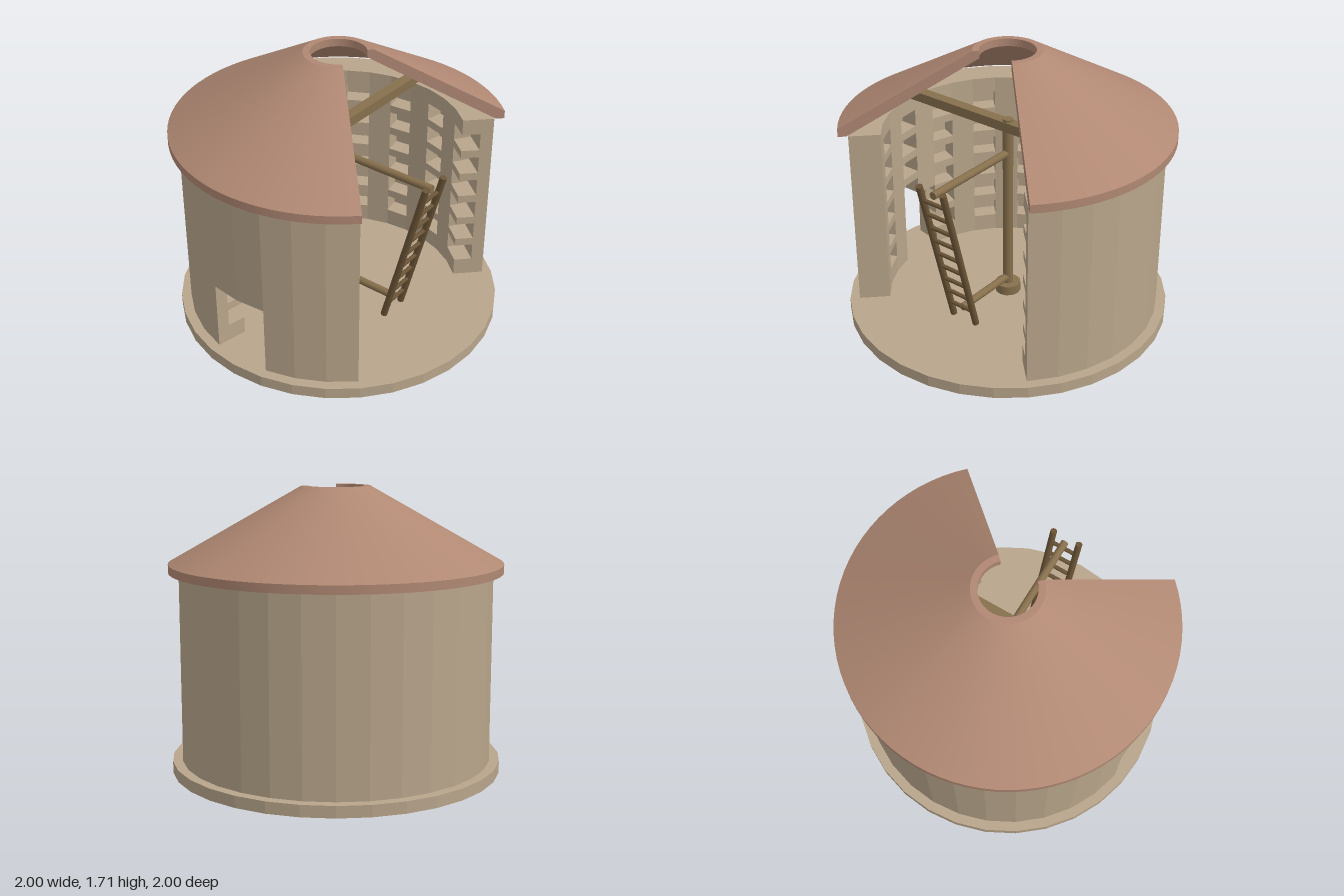
import * as THREE from 'three';
import { toCreasedNormals } from 'three/addons/utils/BufferGeometryUtils.js';

const FLOOR = 0.07, EAVES = 1.21;
const CUT = Math.PI / 4;        // half angle of the cutaway at the front
const STEP = Math.PI / 16;      // one wall facet
const FACETS = 24;              // facets left after the cutaway

const material = (color, flatShading = false) =>
  new THREE.MeshStandardMaterial({ color, flatShading });
const stone = material(0xb8a58b, true);
const tile = material(0xb08873);
tile.side = THREE.DoubleSide;
const timber = material(0x866f4c);
const darkTimber = material(0x6a5436);

function add(parent, name, geometry, mat) {
  const mesh = new THREE.Mesh(geometry, mat);
  mesh.name = name;
  parent.add(mesh);
  return mesh;
}

// Round bar between two points
function bar(parent, name, from, to, radius, mat) {
  const a = new THREE.Vector3(...from), b = new THREE.Vector3(...to);
  const dir = b.clone().sub(a);
  const mesh = add(parent, name, new THREE.CylinderGeometry(radius, radius, dir.length(), 12), mat);
  mesh.position.copy(a).add(b).multiplyScalar(0.5);
  mesh.quaternion.setFromUnitVectors(new THREE.Vector3(0, 1, 0), dir.normalize());
  return mesh;
}

// Ring wall as a polar grid of cells (facet, level, layer); only faces next to empty cells are made
function wallGeometry() {
  const radii = [0.75, 0.863, 0.94];
  const levels = [FLOOR];
  for (let row = 0; row < 6; row++) {
    const y = 0.182 + row * 0.163;
    levels.push(y, y + 0.112);
  }
  levels.push(EAVES);
  const size = [FACETS, levels.length - 1, 2];

  const solid = ([k, j, l]) => {
    if (k < 0 || j < 0 || l < 0 || k >= size[0] || j >= size[1] || l >= size[2]) return false;
    const doorway = (k === 19 || k === 20) && j < 5;
    const nestHole = k % 2 === 0 && j % 2 === 1 && l === 0;
    return !doorway && !nestHole;
  };
  const point = ([k, j, l]) => {
    const a = CUT + k * STEP;
    return [radii[l] * Math.sin(a), levels[j], radii[l] * Math.cos(a)];
  };

  const positions = [];
  const addFace = (cell, axis, side) => {
    const u = (axis + 1) % 3, v = (axis + 2) % 3;
    const corner = (du, dv) => {
      const c = [...cell];
      c[axis] += side;
      c[u] += du;
      c[v] += dv;
      return point(c);
    };
    const q = [corner(0, 0), corner(1, 0), corner(1, 1), corner(0, 1)];
    if (!side) q.reverse();
    for (const i of [0, 1, 2, 0, 2, 3]) positions.push(...q[i]);
  };

  for (let k = 0; k < size[0]; k++)
    for (let j = 0; j < size[1]; j++)
      for (let l = 0; l < size[2]; l++) {
        const cell = [k, j, l];
        if (!solid(cell)) continue;
        for (let axis = 0; axis < 3; axis++)
          for (const side of [0, 1]) {
            const next = [...cell];
            next[axis] += side ? 1 : -1;
            if (!solid(next)) addFace(cell, axis, side);
          }
      }
  const geometry = new THREE.BufferGeometry();
  geometry.setAttribute('position', new THREE.Float32BufferAttribute(positions, 3));
  geometry.computeVertexNormals();
  return geometry;
}

// Thick conical roof with a smoke hole, closed at both cut ends
function buildRoof() {
  const roof = new THREE.Group();
  roof.name = 'roof';
  const profile = [
    [0.95, 1.21], [1, 1.21], [1, 1.26], [0.205, 1.712], [0.165, 1.712], [0.165, 1.665],
  ].map(([r, y]) => new THREE.Vector2(r, y));
  const shell = new THREE.LatheGeometry(
    [...profile, profile[0]], 60, CUT, Math.PI * 2 - CUT * 2);
  add(roof, 'roofShell', toCreasedNormals(shell, Math.PI / 7), tile);
  for (const side of [1, -1]) {
    const end = add(roof, 'roofCutFace', new THREE.ShapeGeometry(new THREE.Shape(profile)), tile);
    end.rotation.y = side * CUT - Math.PI / 2;
  }
  return roof;
}

// Leaning ladder carried by two arms on the turning post
function buildLadder() {
  const ladder = new THREE.Group();
  ladder.name = 'ladder';
  const bottom = [0.08, 0.425], top = [1.09, 0.69];
  const zAt = (y) => bottom[1] + (y - bottom[0]) / (top[0] - bottom[0]) * (top[1] - bottom[1]);
  for (const x of [-0.088, 0.088])
    bar(ladder, 'rail', [x, ...bottom], [x, ...top], 0.021, darkTimber);
  for (let i = 0; i < 9; i++) {
    const y = 0.18 + i * 0.101;
    bar(ladder, 'rung', [-0.088, y, zAt(y)], [0.088, y, zAt(y)], 0.013, darkTimber);
  }
  for (const y of [0.17, 1.05])
    bar(ladder, 'arm', [0, y, 0], [0, y, zAt(y) - 0.005], 0.024, timber);
  return ladder;
}

export function createModel() {
  const model = new THREE.Group();
  model.name = 'cutawayDovecote';

  const base = add(model, 'base', new THREE.CylinderGeometry(1, 1, FLOOR, 32), stone);
  base.position.y = FLOOR / 2;
  add(model, 'wallWithNestHoles', wallGeometry(), stone);
  model.add(buildRoof());

  // Cross beam and turning post
  const beam = add(model, 'crossBeam', new THREE.BoxGeometry(1.68, 0.06, 0.07), timber);
  beam.position.y = 1.23;
  bar(model, 'post', [0, FLOOR, 0], [0, 1.275, 0], 0.032, timber);
  bar(model, 'postFoot', [0, FLOOR, 0], [0, 0.13, 0], 0.08, timber);

  model.add(buildLadder());
  return model;
}
